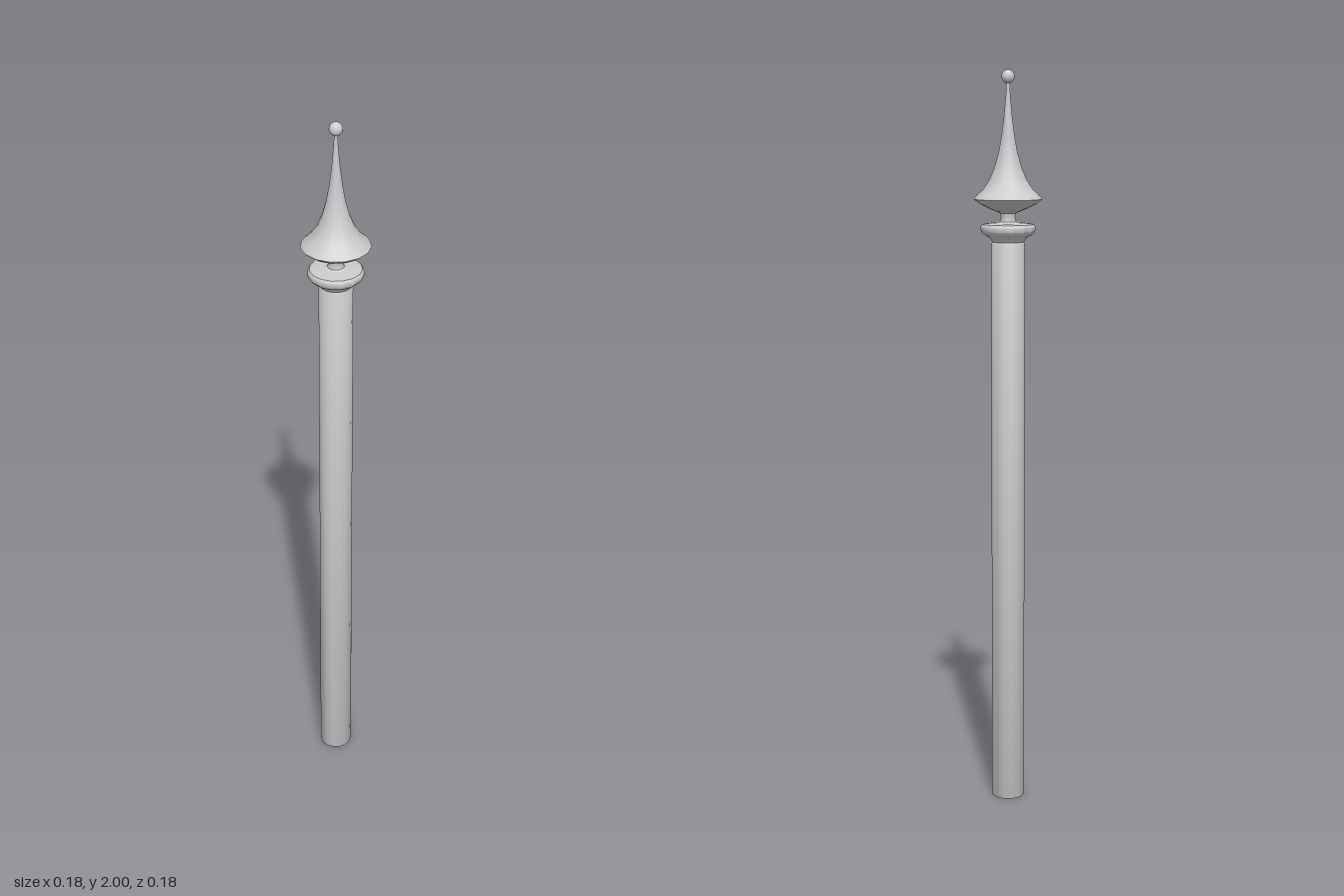
import * as THREE from 'three';
import { toCreasedNormals } from 'three/addons/utils/BufferGeometryUtils.js';

const SIDES = 15;

export function createModel() {
  const group = new THREE.Group();
  const material = new THREE.MeshStandardMaterial({ color: 0xcccccc });

  const add = (name, geometry, y = 0) => {
    const mesh = new THREE.Mesh(geometry, material);
    mesh.name = name;
    mesh.position.y = y;
    group.add(mesh);
  };

  // Turned part from [radius, height] pairs, listed bottom to top
  const turned = (name, profile) => {
    const points = profile.map(([r, y]) => new THREE.Vector2(r, y));
    const lathe = new THREE.LatheGeometry(points, SIDES, -Math.PI / 2);
    add(name, toCreasedNormals(lathe, Math.PI / 4.5));
  };

  // Straight round shaft with a closed, slightly eased foot
  turned('post', [[0, 0], [0.043, 0], [0.045, 0.005], [0.045, 1.54], [0.041, 1.548], [0, 1.548]]);

  // Dished ring on top of the post
  turned('collar', [
    [0, 1.543], [0.042, 1.545], [0.05, 1.557], [0.063, 1.564], [0.073, 1.574],
    [0.074, 1.586], [0.069, 1.593], [0.045, 1.596], [0, 1.597],
  ]);

  // Narrow waist between collar and spire
  turned('neck', [[0.032, 1.594], [0.022, 1.6], [0.019, 1.61], [0.022, 1.622], [0.034, 1.63]]);

  // Flared bell sweeping up to a fine point
  turned('spire', [
    [0, 1.624], [0.03, 1.626], [0.05, 1.634], [0.076, 1.647], [0.092, 1.66],
    [0.084, 1.67], [0.067, 1.685], [0.05, 1.711], [0.036, 1.745], [0.025, 1.785],
    [0.017, 1.83], [0.011, 1.88], [0.006, 1.935], [0.004, 1.975],
  ]);

  // Ball at the tip
  add('tipBall', new THREE.SphereGeometry(0.018, SIDES, 10), 1.982);

  return group;
}
